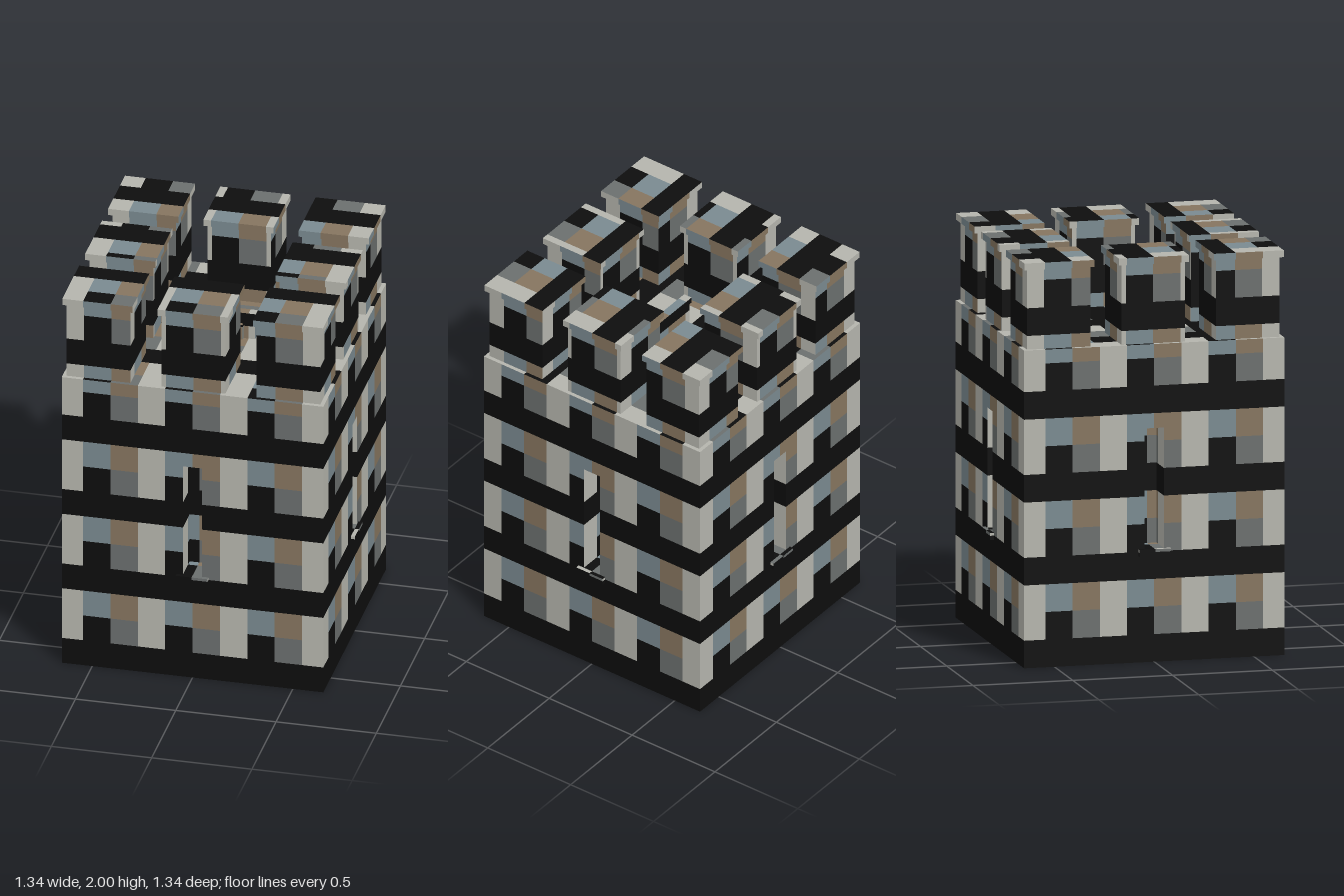
import * as THREE from 'three';

const mat = (name, color) => new THREE.MeshStandardMaterial({ name, color });
const CELL = 0.1365; // pattern square; the pattern repeats every three squares

// Each facing: normal, u axis and v axis (u x v = normal)
const V = (x, y, z) => new THREE.Vector3(x, y, z);
const FACING = {
  front: [V(0, 0, 1), V(1, 0, 0), V(0, 1, 0)],
  back: [V(0, 0, -1), V(-1, 0, 0), V(0, 1, 0)],
  left: [V(1, 0, 0), V(0, 0, -1), V(0, 1, 0)],
  right: [V(-1, 0, 0), V(0, 0, 1), V(0, 1, 0)],
  up: [V(0, 1, 0), V(1, 0, 0), V(0, 0, -1)],
  down: [V(0, -1, 0), V(1, 0, 0), V(0, 0, 1)],
};

// Material index of the pattern: 0 black, 1 pale, 2 blue, 3 brown, 4 grey
function patternAt(u, v) {
  const mod3 = (t) => ((Math.floor(t / CELL) % 3) + 3) % 3;
  const col = mod3(u), row = mod3(v);
  if (row === 0) return 0;
  if (col === 1) return 1;
  if (col === 2) return row === 1 ? 0 : 2;
  return row === 1 ? 4 : 3;
}

// Sorted cut positions from a to b, at pattern lines and extra values
function cuts(a, b, extra = []) {
  const list = [a, b, ...extra];
  for (let i = Math.ceil(a / CELL); i * CELL < b; i++) list.push(i * CELL);
  return list.filter((t) => t >= a && t <= b).sort((p, q) => p - q);
}

// A flat patterned rectangle [u0, u1, v0, v1], with an optional hole
function patch(buckets, facing, offset, [u0, u1, v0, v1], hole) {
  const [n, uAxis, vAxis] = FACING[facing];
  const us = cuts(u0, u1, hole ? hole.slice(0, 2) : []);
  const vs = cuts(v0, v1, hole ? hole.slice(2) : []);
  const at = (u, v) => V(0, 0, 0).addScaledVector(n, offset).addScaledVector(uAxis, u).addScaledVector(vAxis, v);
  for (let i = 0; i + 1 < us.length; i++) {
    for (let j = 0; j + 1 < vs.length; j++) {
      const [a, b, c, d] = [us[i], us[i + 1], vs[j], vs[j + 1]];
      if (b - a < 1e-6 || d - c < 1e-6) continue;
      const mu = (a + b) / 2, mv = (c + d) / 2;
      if (hole && mu > hole[0] && mu < hole[1] && mv > hole[2] && mv < hole[3]) continue;
      const quad = [at(a, c), at(b, c), at(b, d), at(a, c), at(b, d), at(a, d)];
      quad.forEach((p) => buckets[patternAt(mu, mv)].push(p));
    }
  }
}

const newBuckets = () => [[], [], [], [], []];

function meshFrom(name, buckets, materials) {
  const geometry = new THREE.BufferGeometry().setFromPoints(buckets.flat());
  let start = 0;
  buckets.forEach((points, i) => {
    if (points.length) geometry.addGroup(start, points.length, i);
    start += points.length;
  });
  geometry.computeVertexNormals();
  const mesh = new THREE.Mesh(geometry, materials);
  mesh.name = name;
  return mesh;
}

// A box patterned in model space, from its low and high corners
function patternBox(name, materials, [x0, y0, z0], [x1, y1, z1], skip = []) {
  const sides = {
    front: [z1, [x0, x1, y0, y1]],
    back: [-z0, [-x1, -x0, y0, y1]],
    left: [x1, [-z1, -z0, y0, y1]],
    right: [-x0, [z0, z1, y0, y1]],
    up: [y1, [x0, x1, -z1, -z0]],
    down: [-y0, [x0, x1, z0, z1]],
  };
  const buckets = newBuckets();
  for (const key in sides) if (!skip.includes(key)) patch(buckets, key, ...sides[key]);
  return meshFrom(name, buckets, materials);
}

export function createModel() {
  const tower = new THREE.Group();
  tower.name = 'tower';
  const materials = [
    mat('black', 0x0d0d0d), mat('paleStone', 0xb5b5ad), mat('blueGrey', 0x7a8a90),
    mat('brown', 0x86755f), mat('midGrey', 0x6b6f6e),
  ];
  const half = 0.652, wallTop = 1.57;

  // Roof and underside
  tower.add(patternBox('roofAndBase', materials, [-half, 0, -half], [half, wallTop, half],
    ['front', 'back', 'left', 'right']));

  // Four equal walls, each with a recessed slit window
  const w = 0.048, y0 = 0.56, y1 = 1.155, inner = half - 0.14;
  const wall = newBuckets();
  patch(wall, 'front', half, [-half, half, 0, wallTop], [-w, w, y0, y1]);
  patch(wall, 'front', inner, [-w, w, y0, y1]);
  patch(wall, 'left', -w, [-half, -inner, y0, y1]);
  patch(wall, 'right', -w, [inner, half, y0, y1]);
  patch(wall, 'up', y0, [-w, w, -half, -inner]);
  patch(wall, 'down', -y1, [-w, w, inner, half]);
  const wallMesh = meshFrom('wall', wall, materials);
  for (let i = 0; i < 4; i++) {
    const side = wallMesh.clone();
    side.rotation.y = (i * Math.PI) / 2;
    tower.add(side);
  }

  // Window sills
  const s = 0.08, out = 0.672;
  for (const sign of [-1, 1]) {
    const a = Math.min(sign * half, sign * out), b = Math.max(sign * half, sign * out);
    tower.add(patternBox('windowSill', materials, [-s, 0.525, a], [s, y0, b]));
    tower.add(patternBox('windowSill', materials, [a, 0.525, -s], [b, y0, s]));
  }

  // Eight merlons with overhanging caps
  const box = (name, x, z, r, low, high) =>
    tower.add(patternBox(name, materials, [x - r, low, z - r], [x + r, high, z + r]));
  for (const i of [-1, 0, 1]) {
    for (const k of [-1, 0, 1]) {
      if (i === 0 && k === 0) continue;
      box('merlon', i * 0.473, k * 0.473, 0.159, wallTop, 1.966);
      box('merlonCap', i * 0.475, k * 0.475, 0.175, 1.966, 2);
    }
  }

  // Small upright hatch in the middle of the roof
  tower.add(patternBox('hatchFrame', materials, [-0.168, wallTop, 0.02], [0.168, 1.68, 0.055]));
  tower.add(patternBox('hatchLintel', materials, [-0.18, 1.68, 0.015], [0.18, 1.71, 0.06]));
  tower.add(patternBox('hatchPanel', materials, [-0.11, wallTop, 0.055], [0.11, 1.65, 0.072]));

  return tower;
}
